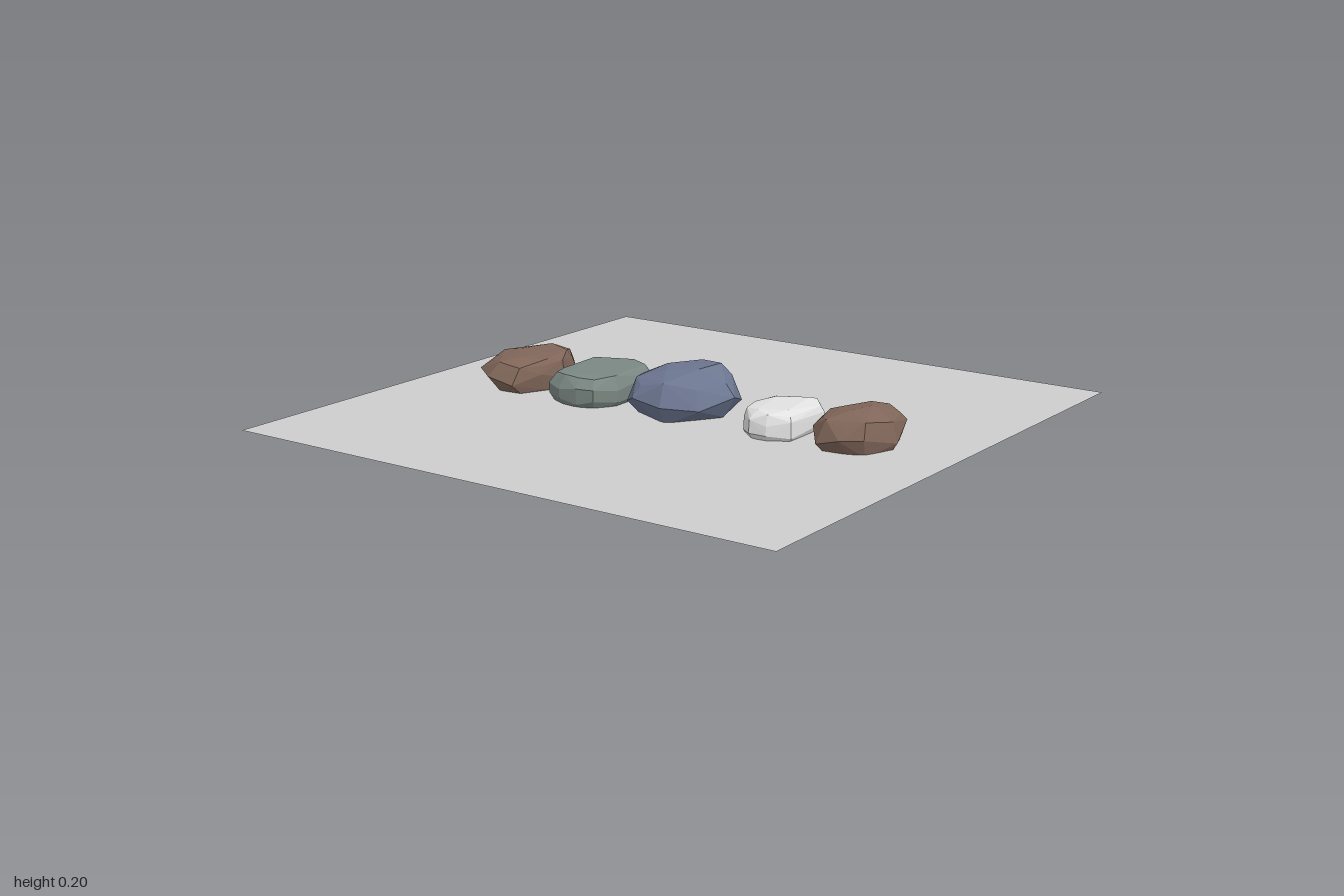
import * as THREE from 'three';
import { ConvexGeometry } from 'three/addons/geometries/ConvexGeometry.js';

const material = (name, color) => {
  const m = new THREE.MeshStandardMaterial({ color });
  m.name = name;
  return m;
};

// Faceted stone: a plan outline [x, z] stacked at several heights.
// Each ring is [y, scale, shift in x, shift in z, height jitter].
function stone(name, mat, outline, rings, twist = 0) {
  const n = outline.length;
  const cx = outline.reduce((s, p) => s + p[0], 0) / n;
  const cz = outline.reduce((s, p) => s + p[1], 0) / n;
  const points = [];
  rings.forEach(([y, scale, dx = 0, dz = 0, jitter = 0], r) => {
    outline.forEach(([x, z], i) => {
      // inner rings use every other corner, for broad irregular facets
      if (scale < 0.8 && (i + r) % 2) return;
      const wobble = Math.sin(i * 2.4 + r * 1.7 + twist);
      points.push(new THREE.Vector3(
        cx + (x - cx) * scale + dx,
        y + jitter * wobble,
        cz + (z - cz) * scale + dz
      ));
    });
  });
  const mesh = new THREE.Mesh(new ConvexGeometry(points), mat);
  mesh.name = name;
  return mesh;
}

export function createModel() {
  const brown = material('brown stone', 0x806659);
  const blue = material('blue grey stone', 0x6c7690);
  const green = material('green grey stone', 0x7a8782);
  const white = material('pale stone', 0xe2e2e2);
  const grey = material('ground grey', 0xcccccc);
  grey.side = THREE.DoubleSide;

  const group = new THREE.Group();
  group.name = 'steppingStones';

  // Flat square sheet that the stones are sunk into
  const sheet = new THREE.Mesh(new THREE.PlaneGeometry(2, 2).rotateX(-Math.PI / 2), grey);
  sheet.name = 'groundSheet';
  sheet.position.y = 0.045;
  group.add(sheet);

  // Rounded brown stones at both ends
  group.add(stone('backStone', brown,
    [[0, -0.815], [0.1, -0.79], [0.165, -0.7], [0.18, -0.61], [0.11, -0.54], [0, -0.505],
      [-0.085, -0.535], [-0.18, -0.585], [-0.18, -0.69], [-0.1, -0.79]],
    [[0.09, 1, 0, 0, 0.015], [0.135, 0.82, 0, 0.02, 0.008], [0.158, 0.55, 0, 0.05, 0.008],
      [0.045, 0.81, 0, 0.02, 0.008], [0.022, 0.55, 0, 0.03, 0.004]]));

  group.add(stone('frontStone', brown,
    [[0, 0.515], [0.1, 0.555], [0.165, 0.675], [0.14, 0.74], [0, 0.787],
      [-0.12, 0.74], [-0.16, 0.675], [-0.155, 0.59], [-0.09, 0.54]],
    [[0.085, 1, 0, 0, 0.02], [0.135, 0.82, 0, 0.01, 0.012], [0.165, 0.4, 0, 0, 0.01],
      [0.04, 0.81, 0, 0.01, 0.008], [0.015, 0.45, 0, 0, 0.006]], 1));

  // Largest stone in the middle
  group.add(stone('middleStone', blue,
    [[-0.02, -0.19], [0.1, -0.15], [0.19, -0.06], [0.165, 0.07], [0.1, 0.15], [0, 0.19],
      [-0.12, 0.135], [-0.19, 0.03], [-0.18, -0.085], [-0.12, -0.15]],
    [[0.1, 1, 0, 0, 0.018], [0.16, 0.83, 0, 0, 0.012], [0.199, 0.5, 0.02, 0.02, 0.009],
      [0.045, 0.78, 0, 0, 0.012], [0.01, 0.45, 0.02, -0.01, 0.009]], 2));

  // Squarer stones with flat tops
  group.add(stone('greenStone', green,
    [[-0.15, -0.45], [-0.08, -0.47], [0.11, -0.465], [0.165, -0.41], [0.18, -0.32], [0.14, -0.235],
      [0.09, -0.215], [-0.09, -0.21], [-0.165, -0.255], [-0.18, -0.315], [-0.18, -0.385]],
    [[0.105, 1, 0, 0, 0.008], [0.062, 0.99, 0, 0, 0.008], [0.14, 0.84, 0, 0, 0.004],
      [0.027, 0.82, 0, 0, 0.005]]));

  group.add(stone('paleStone', white,
    [[-0.01, 0.265], [0.085, 0.29], [0.14, 0.35], [0.135, 0.43], [0.08, 0.48], [-0.11, 0.475],
      [-0.155, 0.41], [-0.16, 0.35], [-0.1, 0.29]],
    [[0.1, 0.98, 0, 0, 0.008], [0.06, 1, 0, 0, 0.008], [0.122, 0.9, 0, 0, 0.005],
      [0.133, 0.72, 0, 0, 0.003], [0.022, 0.81, 0, 0, 0.006]], 3));

  return group;
}
